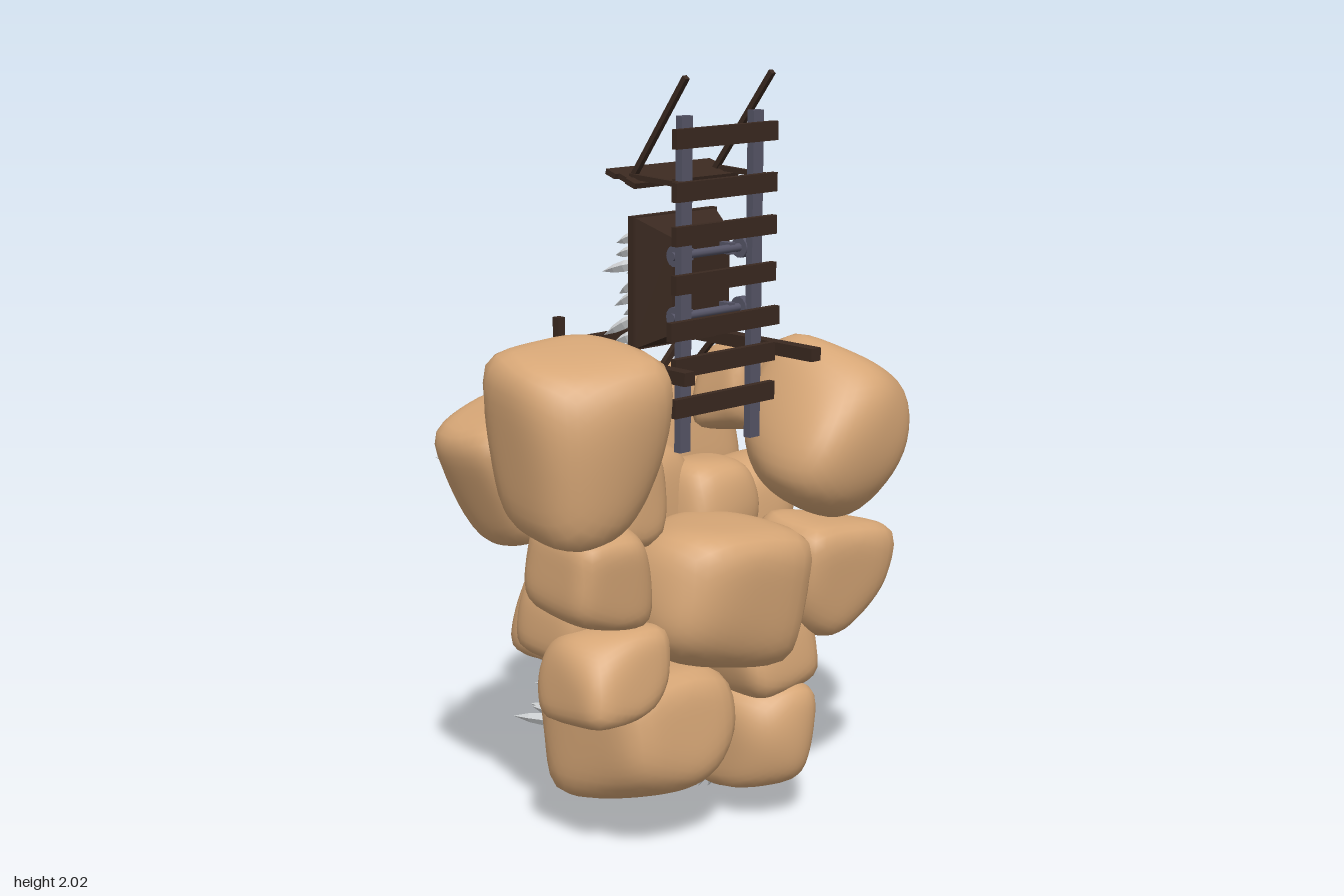
import * as THREE from 'three';
import { mergeVertices } from 'three/addons/utils/BufferGeometryUtils.js';

const mat = (name, color, flatShading = false) => {
  const m = new THREE.MeshStandardMaterial({ color, flatShading });
  m.name = name;
  return m;
};
const V = (x, y, z) => new THREE.Vector3(x, y, z);

function seeded(seed) {
  let s = seed * 7919 + 17;
  return () => (s = (s * 16807 + 11) % 2147483647) / 2147483647;
}

// Boulder: soft intersection of six box planes and a few random cuts
function boulderGeometry(seed, cx, cy, cz, hx, hy = hx, hz = hx, tilt = 0) {
  const rnd = seeded(seed);
  for (let i = 0; i < 5; i++) rnd();
  const planes = [];
  for (const n of [V(1, 0, 0), V(0, 1, 0), V(0, 0, 1)]) {
    planes.push([n, 1], [n.clone().negate(), 1]);
  }
  for (let i = 0; i < 8; i++) {
    planes.push([V(rnd() - 0.5, rnd() - 0.5, rnd() - 0.5).normalize(), 1.05 + rnd() * 0.25]);
  }
  let g = new THREE.IcosahedronGeometry(1, 8);
  g.deleteAttribute('uv');
  g.deleteAttribute('normal');
  g = mergeVertices(g, 1e-4);
  const pos = g.attributes.position, d = V(0, 0, 0);
  for (let i = 0; i < pos.count; i++) {
    d.fromBufferAttribute(pos, i).normalize();
    let sum = 0;
    for (const [n, h] of planes) sum += Math.pow(Math.max(0, d.dot(n)) / h, 6);
    d.multiplyScalar(Math.pow(sum, -1 / 6));
    pos.setXYZ(i, d.x, d.y, d.z);
  }
  // Sides of the upright block whose tilted bounds are the given half sizes
  const c = Math.cos(tilt), s = Math.abs(Math.sin(tilt)), k = c * c - s * s;
  g.scale((hx * c - hy * s) / k, (hy * c - hx * s) / k, hz);
  g.rotateX((rnd() - 0.5) * 0.25);
  g.rotateY((rnd() - 0.5) * 0.4);
  g.rotateZ(tilt || (rnd() - 0.5) * 0.25);
  // The half sizes hold after turning
  g.center();
  const { max } = g.boundingBox.setFromBufferAttribute(pos);
  g.scale(hx / max.x, hy / max.y, hz / max.z);
  g.translate(cx, cy, cz);
  g.computeVertexNormals();
  return g;
}

// centre, half sizes (one for round boulders), optional tilt
const BOULDERS = [
  [-0.46, 1.13, 0.325, 0.195, 0.245, 0.195, 0.1],
  [0.415, 1.03, 0.345, 0.235, 0.25, 0.195, -0.48],
  [-0.005, 0.645, 0.3, 0.235, 0.205, 0.21],
  [0.395, 0.64, 0.34, 0.175, 0.17, 0.145],
  [-0.4, 0.785, 0.3, 0.14],
  [-0.345, 0.505, 0.28, 0.14, 0.125],
  [-0.135, 0.275, 0.17, 0.2, 0.195, 0.24],
  [0.195, 0.215, 0.29, 0.13, 0.155, 0.165],
  [0.18, 0.395, 0, 0.165, 0.19, 0.15],
  [0.2, 0.45, 0.28, 0.14],
  [0.36, 0.76, 0.06, 0.15, 0.165],
  [0.385, 1.11, 0.055, 0.14, 0.13, 0.1],
  [0.315, 0.985, -0.16, 0.185, 0.18, 0.15],
  [0.17, 0.845, -0.4, 0.19, 0.18, 0.14],
  [0.1, 1.04, -0.305, 0.115, 0.1],
  [0, 1.1, -0.125, 0.17, 0.145, 0.13],
  [-0.08, 0.84, -0.2, 0.135],
  [-0.265, 1.03, -0.16, 0.13, 0.09, 0.09],
  [-0.415, 1.02, 0.035, 0.21, 0.2, 0.15, 0.35],
  [-0.24, 0.93, 0.18, 0.135],
  [0.14, 0.82, 0.12, 0.14],
  [-0.04, 0.87, 0.03, 0.16],
  [0.08, 0.74, -0.17, 0.1],
];

// base, sideways and upward lean of the backward spikes, length
const CLUSTERS = [
  [0.12, 0.46, -0.11, -0.1, 0.08, 0.23],
  [-0.1, 0.28, -0.06, 0, 0, 0.2],
  [0.22, 0.135, 0.16, 0.25, -1.4, 0.13],
  [0.46, 0.75, -0.04, 0.8, 0.1, 0.15],
  [0.44, 1.14, -0.01, 0.5, 0.15, 0.14],
  [-0.06, 0.92, -0.29, 0, 0.25, 0.13],
  [-0.37, 0.97, -0.11, -0.6, 0.2, 0.14],
  [-0.46, 1.25, 0.17, 0.05, 0.35, 0.13],
];

export function createModel() {
  const model = new THREE.Group();
  model.name = 'rockMine';
  const sand = mat('sandstone', 0xd6a676);
  const wood = mat('darkWood', 0x3a2920);
  const iron = mat('iron', 0x565567);
  const crystal = mat('crystal', 0xd6d9db, true);

  const group = (name) => {
    const g = new THREE.Group();
    g.name = name;
    model.add(g);
    return g;
  };
  const add = (parent, name, geo, m, x = 0, y = 0, z = 0) => {
    const mesh = new THREE.Mesh(geo, m);
    mesh.name = name;
    mesh.position.set(x, y, z);
    parent.add(mesh);
    return mesh;
  };
  const box = (parent, name, m, w, h, d, x, y, z) =>
    add(parent, name, new THREE.BoxGeometry(w, h, d), m, x, y, z);
  // Square wooden bar between two points
  const bar = (parent, name, a, b, t) => {
    const mesh = box(parent, name, wood, t, t, a.distanceTo(b), 0, 0, 0);
    mesh.position.copy(a).add(b).multiplyScalar(0.5);
    mesh.lookAt(b);
  };

  // Boulder pile, with an arc of filler boulders round the back of its core
  const rocks = group('boulders');
  BOULDERS.forEach((b, i) => add(rocks, 'boulder', boulderGeometry(i + 3, ...b), sand));
  for (let i = 0; i < 5; i++) {
    const a = i * Math.PI / 4;
    const geo = boulderGeometry(i + 60, -0.03 - 0.27 * Math.cos(a), 0.64 - 0.05 * (i % 2), 0.12 - 0.14 * Math.sin(a), 0.135);
    add(rocks, 'fillerBoulder', geo, sand);
  }

  // Crystal spikes
  const profile = [[0, 0], [0.6, 0.05], [1, 0.45], [0.75, 0.7], [0, 1]].map(([x, y]) => new THREE.Vector2(x, y));
  const spikeGeo = new THREE.LatheGeometry(profile, 5);
  const spike = (parent, base, dir, len, r) => {
    const s = add(parent, 'crystalSpike', spikeGeo, crystal);
    s.position.copy(base);
    s.quaternion.setFromUnitVectors(V(0, 1, 0), dir.clone().normalize());
    s.scale.set(r, len, r);
  };
  CLUSTERS.forEach(([x, y, z, side, up, len], k) => {
    const rnd = seeded(k + 41), g = group('crystalCluster');
    const jitter = (s) => V(rnd() - 0.5, rnd() - 0.5, rnd() - 0.5).multiplyScalar(2 * s);
    for (let i = 0; i < 8; i++) {
      const off = jitter(len * 0.36);
      const dir = V(side, up, -1).normalize().addScaledVector(off, 2.5).add(jitter(0.1));
      spike(g, V(x, y, z).add(off), dir, len * (0.7 + 0.35 * rnd()), len * 0.07 + 0.004);
    }
  });

  // Upright track: two rails and cross ties
  const cx = -0.019;
  const track = group('track');
  for (const s of [-1, 1]) box(track, 'rail', iron, 0.036, 0.84, 0.022, cx + s * 0.125, 1.48, 0.354);
  for (const y of [1.18, 1.282, 1.375, 1.49, 1.61, 1.718, 1.847]) {
    box(track, 'tie', wood, y === 1.375 ? 0.385 : 0.355, 0.048, 0.018, cx, y, 0.374);
  }

  // Platform frame around the shaft
  const frame = group('shaftFrame');
  for (const s of [-1, 1]) {
    const x = cx + s * 0.226;
    box(frame, 'sideBeam', wood, 0.035, 0.034, 0.53, x, 1.28, 0.217);
    box(frame, 'post', wood, 0.022, 0.32, 0.022, x, 1.21, 0);
    bar(frame, 'brace', V(x, 1.28, 0.005), V(cx + s * 0.06, 1.11, 0.005), 0.016);
    bar(frame, 'sideBrace', V(x, 1.15, 0), V(x, 1.28, 0.12), 0.014);
  }
  box(frame, 'crossBeam', wood, 0.515, 0.034, 0.026, cx, 1.292, 0);

  // Small tilted roof and its supports
  const roof = group('roof');
  for (let i = 0; i < 3; i++) {
    const p = box(roof, 'roofPlank', wood, 0.365 - (i % 2) * 0.02, 0.014, 0.036, cx, 1.746 - i * 0.009, 0.15 + i * 0.036);
    p.rotation.x = 0.3;
  }
  for (const s of [-1, 1]) {
    bar(roof, 'roofStrut', V(cx + s * 0.15, 1.995, 0.385), V(cx + s * 0.145, 1.735, 0.19), 0.014);
    bar(roof, 'roofArm', V(cx + s * 0.15, 1.735, 0.365), V(cx + s * 0.15, 1.742, 0.19), 0.013);
  }

  // Ore cart standing on its end, open towards the back
  const cart = group('oreCart');
  const hull = new THREE.BoxGeometry(0.29, 0.34, 0.1);
  const hp = hull.attributes.position;
  for (let i = 0; i < hp.count; i++) {
    if (hp.getZ(i) > 0) hp.setXY(i, hp.getX(i) * 0.7, hp.getY(i) * 0.72);
  }
  hull.computeVertexNormals();
  add(cart, 'cartBody', hull, wood, cx, 1.47, 0.24);
  for (const s of [-1, 1]) {
    box(cart, 'rimSide', wood, 0.016, 0.34, 0.02, cx + s * 0.14, 1.47, 0.188);
    box(cart, 'rimEnd', wood, 0.29, 0.016, 0.02, cx, 1.47 + s * 0.162, 0.188);
    const y = 1.475 + s * 0.077;
    const axle = add(cart, 'axle', new THREE.CylinderGeometry(0.011, 0.011, 0.27, 10), iron, cx, y, 0.322);
    axle.rotation.z = Math.PI / 2;
    for (const t of [-1, 1]) {
      const wheel = add(cart, 'wheel', new THREE.CylinderGeometry(0.027, 0.027, 0.025, 14), iron, cx + t * 0.115, y, 0.322);
      wheel.rotation.z = Math.PI / 2;
      box(cart, 'axleBlock', iron, 0.02, 0.03, 0.045, cx + t * 0.075, y, 0.305);
    }
  }

  // Crystal load in the cart
  const load = group('crystalLoad'), rnd = seeded(99);
  for (let i = 0; i < 5; i++) {
    for (let j = 0; j < 8; j++) {
      const base = V(cx - 0.1 + i * 0.05 + (rnd() - 0.5) * 0.03, 1.345 + j * 0.036 + (rnd() - 0.5) * 0.02, 0.195);
      spike(load, base, V((rnd() - 0.5) * 0.25, -0.4 + (rnd() - 0.5) * 0.3, -1), 0.11 + rnd() * 0.055, 0.016);
    }
  }
  return model;
}
